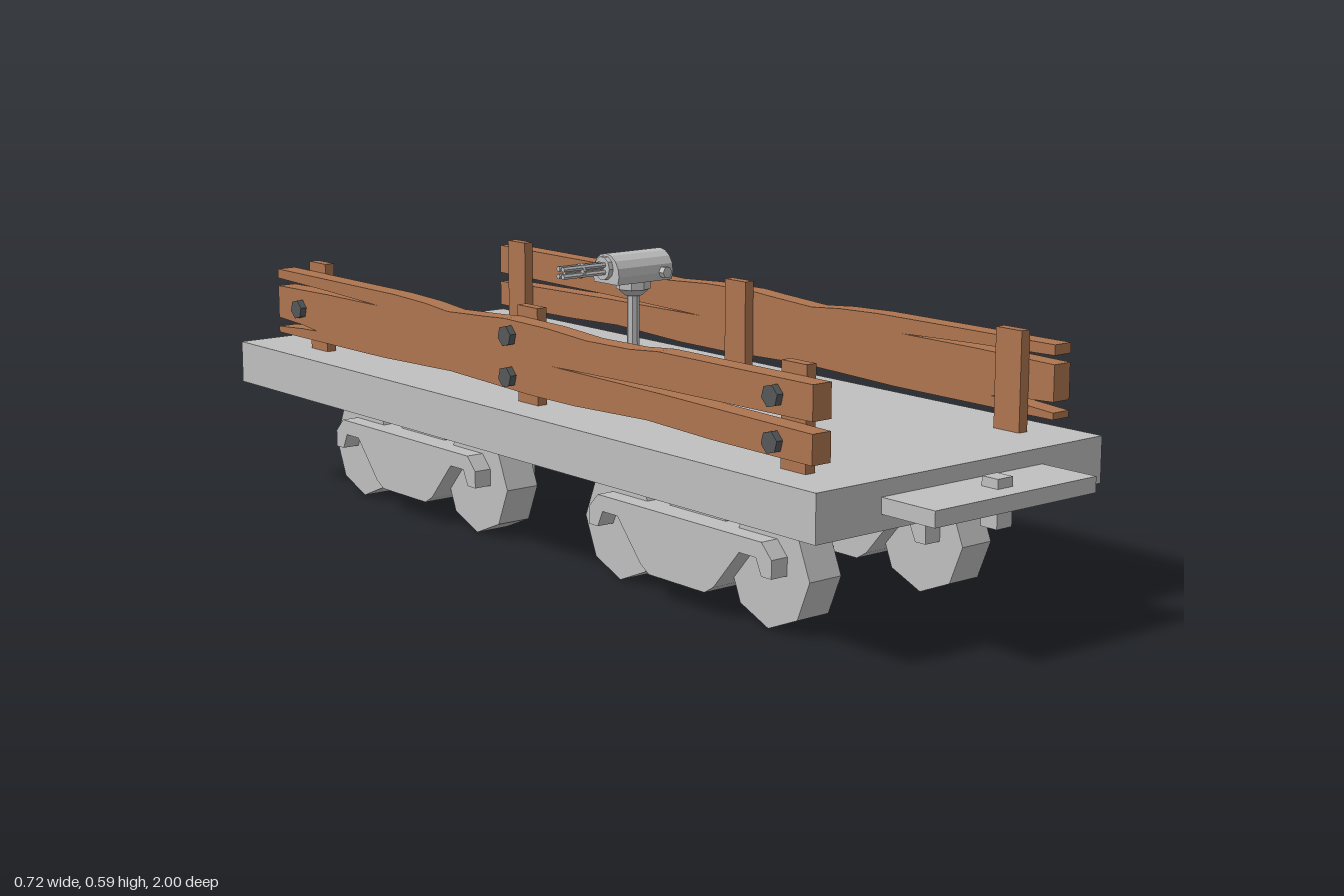
import * as THREE from 'three';

const steel = new THREE.MeshStandardMaterial({ color: 0xc0c0c0, flatShading: true });
steel.name = 'steel grey';
const wood = new THREE.MeshStandardMaterial({ color: 0xae7550, flatShading: true });
wood.name = 'timber brown';
const iron = new THREE.MeshStandardMaterial({ color: 0x55585a, flatShading: true });
iron.name = 'dark iron';

function add(parent, name, geometry, material, x = 0, y = 0, z = 0) {
  const mesh = new THREE.Mesh(geometry, material);
  mesh.name = name;
  mesh.position.set(x, y, z);
  parent.add(mesh);
  return mesh;
}

// Box given by its limits on each axis
function box(parent, name, material, x0, x1, y0, y1, z0, z1) {
  return add(parent, name, new THREE.BoxGeometry(x1 - x0, y1 - y0, z1 - z0), material,
    (x0 + x1) / 2, (y0 + y1) / 2, (z0 + z1) / 2);
}

// Side profile of [z, y] points, extruded across x from x0 to x1
function sideExtrude(points, x0, x1) {
  const shape = new THREE.Shape(points.map(([z, y]) => new THREE.Vector2(z, y)));
  const g = new THREE.ExtrudeGeometry(shape, { depth: x1 - x0, bevelEnabled: false });
  return g.rotateY(-Math.PI / 2).translate(x1, 0, 0);
}

const cylX = (r, length, sides) => new THREE.CylinderGeometry(r, r, length, sides).rotateZ(Math.PI / 2);
const cylZ = (r, length, sides) => new THREE.CylinderGeometry(r, r, length, sides).rotateX(Math.PI / 2);

// Wheel pair with an arched frame and a pivot block
function createBogie(x, z) {
  const bogie = new THREE.Group();
  bogie.name = 'bogie';
  const half = [[0.08, 0.045], [0.105, 0.06], [0.175, 0.14], [0.22, 0.14], [0.235, 0.108],
    [0.262, 0.108], [0.262, 0.143], [0.235, 0.171]];
  const mirrored = half.map(([a, b]) => [-a, b]).reverse();
  add(bogie, 'bogieFrame', sideExtrude([...half, ...mirrored], -0.076, 0.076), steel);
  for (const s of [-1, 1]) {
    add(bogie, 'wheel', cylX(0.108, 0.076, 8), steel, 0, 0.108, s * 0.213);
  }
  box(bogie, 'bogiePivot', steel, -0.025, 0.025, 0.165, 0.235, -0.08, 0.08);
  bogie.position.set(x, 0, z);
  return bogie;
}

// Split, weathered side board with its posts and bolts
function createSideBoard() {
  const side = new THREE.Group();
  side.name = 'sideBoard';
  const outline = [
    // worn lower edge, back to front
    [-0.86, 0.352], [-0.6, 0.354], [-0.42, 0.36], [-0.2, 0.352], [-0.06, 0.352],
    [0.2, 0.36], [0.45, 0.353], [0.79, 0.352],
    // two cracks in the front end
    [0.86, 0.352], [0.86, 0.365], [0.76, 0.372], [0.705, 0.374], [0.76, 0.38], [0.86, 0.385],
    [0.86, 0.455], [0.66, 0.459], [0.465, 0.46], [0.66, 0.467], [0.86, 0.472],
    // worn upper edge, front to back
    [0.86, 0.492], [0.4, 0.491], [0.29, 0.487], [0.21, 0.48], [0.08, 0.487], [0.02, 0.491],
    [-0.12, 0.489], [-0.24, 0.482], [-0.37, 0.484], [-0.45, 0.491], [-0.86, 0.492],
    // one long crack in the back end
    [-0.86, 0.428], [-0.45, 0.424], [-0.135, 0.418], [-0.45, 0.415], [-0.86, 0.407],
  ];
  add(side, 'plank', sideExtrude(outline, 0.279, 0.322), wood);
  for (const [z, bolts] of [[0.766, [0.415]], [0, [0.46, 0.379]], [-0.766, [0.46, 0.379]]]) {
    box(side, 'boardPost', wood, 0.257, 0.279, 0.32, 0.512, z - 0.032, z + 0.032);
    for (const y of bolts) {
      const bolt = add(side, 'bolt', cylX(0.021, 0.02, 6), iron, 0.326, y, z);
      bolt.rotation.x = 0.25;
    }
  }
  return side;
}

// Swivelling gun on a pedestal, barrels toward -x
function createGun() {
  const gun = new THREE.Group();
  gun.name = 'swivelGun';
  add(gun, 'gunBase', new THREE.CylinderGeometry(0.052, 0.06, 0.013, 8).rotateY(Math.PI / 8), steel, 0, 0.3265, 0);
  add(gun, 'gunCollar', new THREE.CylinderGeometry(0.022, 0.025, 0.006, 8), steel, 0, 0.335, 0);
  add(gun, 'gunPost', new THREE.CylinderGeometry(0.013, 0.013, 0.18, 8), steel, 0, 0.42, 0);
  add(gun, 'gunSwivel', new THREE.CylinderGeometry(0.035, 0.018, 0.015, 8), steel, 0, 0.511, 0);
  add(gun, 'gunSeat', new THREE.CylinderGeometry(0.035, 0.035, 0.02, 8), steel, 0, 0.527, 0);

  // Rounded body with a flat underside
  const body = [];
  for (let i = 0; i <= 10; i++) {
    const a = -0.46 + (i / 10) * (Math.PI + 0.92);
    body.push([0.042 * Math.cos(a), 0.552 + 0.042 * Math.sin(a)]);
  }
  add(gun, 'gunBody', sideExtrude(body, -0.07, 0.07), steel);

  // Barrel cluster
  add(gun, 'barrelMount', cylX(0.024, 0.012, 10), steel, -0.074, 0.565, 0);
  for (let i = 0; i < 4; i++) {
    const a = Math.PI / 4 + i * Math.PI / 2;
    add(gun, 'barrel', cylX(0.0055, 0.11, 6), steel, -0.129, 0.565 + 0.0105 * Math.sin(a), 0.0105 * Math.cos(a));
  }
  add(gun, 'barrelCore', cylX(0.005, 0.1, 6), steel, -0.125, 0.565, 0);
  add(gun, 'barrelBand', cylX(0.0155, 0.006, 8), steel, -0.134, 0.565, 0);

  // Side knob and lever
  add(gun, 'sideKnob', cylZ(0.012, 0.11, 6).rotateZ(Math.PI / 6), steel, 0.045, 0.551, 0);
  add(gun, 'lever', cylZ(0.005, 0.06, 6), steel, 0.01, 0.551, -0.062);
  gun.position.set(0.004, 0, -0.062);
  return gun;
}

export function createModel() {
  const wagon = new THREE.Group();
  wagon.name = 'flatWagon';

  // Deck and coupling
  box(wagon, 'deck', steel, -0.36, 0.358, 0.23, 0.32, -1, 0.873);
  box(wagon, 'couplerPlate', steel, -0.207, 0.197, 0.26, 0.29, 0.865, 1);
  box(wagon, 'couplerPin', steel, -0.013, 0.025, 0.218, 0.308, 0.922, 0.96);

  // Running gear
  for (const x of [-0.187, 0.199]) {
    for (const z of [0.395, -0.507]) wagon.add(createBogie(x, z));
  }

  // Side boards, the second turned half round
  for (const turn of [0, Math.PI]) {
    const side = createSideBoard();
    side.rotation.y = turn;
    side.position.set(-0.002, 0, -0.036);
    wagon.add(side);
  }

  wagon.add(createGun());
  return wagon;
}
